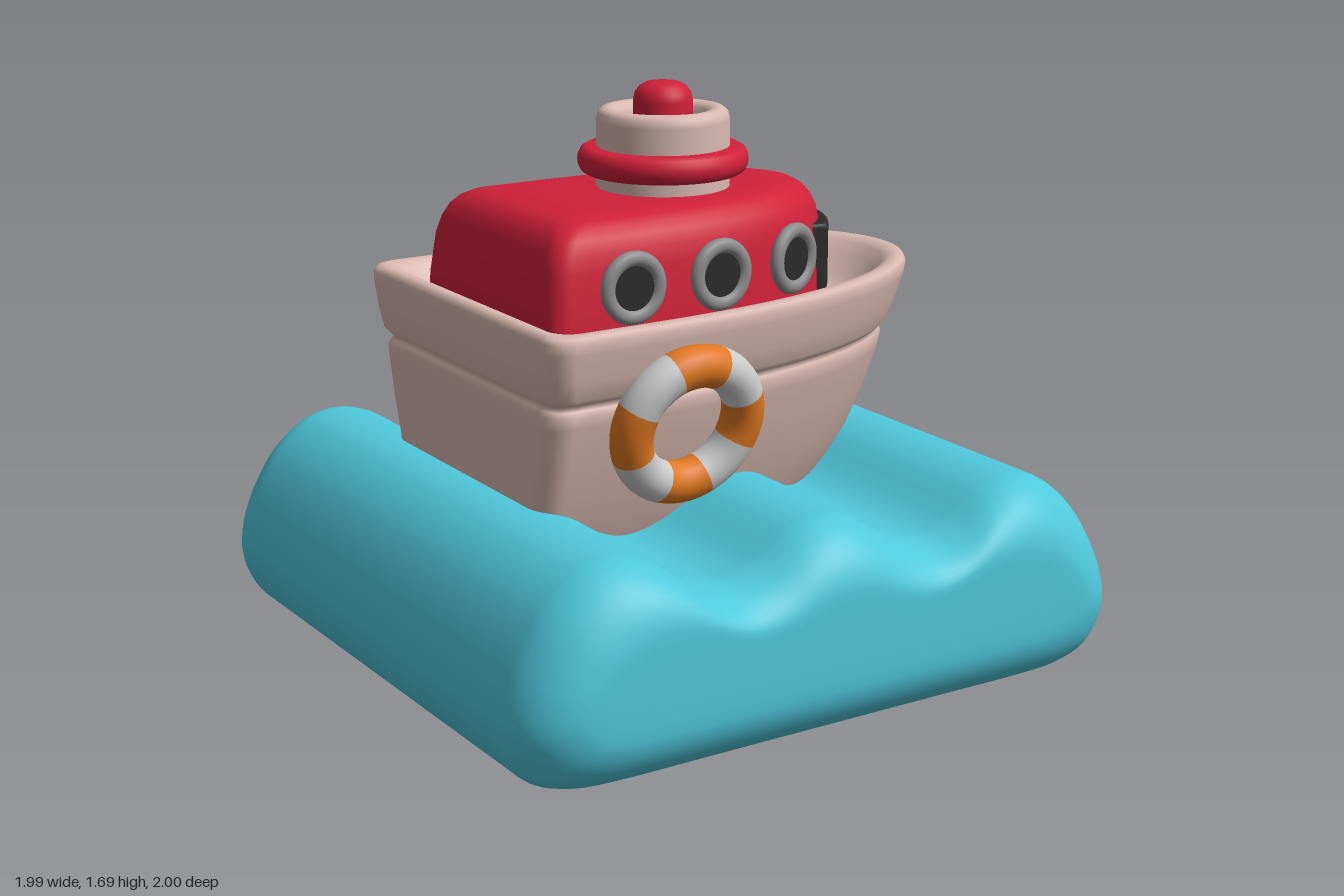
import * as THREE from 'three';

const mat = (color, side = THREE.FrontSide) => new THREE.MeshStandardMaterial({ color, side, roughness: 0.7 });
const CREAM = mat(0xd9b9b0), RED = mat(0xd02038), WATER = mat(0x4fc8dc), GREY = mat(0x8c8c8c),
  DARK = mat(0x2b2b2b), ORANGE = mat(0xe07820), WHITE = mat(0xcccccc);

function add(parent, name, geometry, material, x = 0, y = 0, z = 0) {
  const mesh = new THREE.Mesh(geometry, material);
  mesh.name = name;
  mesh.position.set(x, y, z);
  parent.add(mesh);
  return mesh;
}

// Smooth skin through closed rings of equal length
function loft(rings) {
  const n = rings[0].length, pos = rings.flat().flatMap((p) => [p.x, p.y, p.z]), index = [];
  for (let i = 0; i < rings.length - 1; i++) {
    for (let j = 0; j < n; j++) {
      const a = i * n + j, b = i * n + (j + 1) % n;
      index.push(a, a + n, b, b, a + n, b + n);
    }
  }
  const g = new THREE.BufferGeometry();
  g.setAttribute('position', new THREE.Float32BufferAttribute(pos, 3));
  g.setIndex(index);
  g.computeVertexNormals();
  return g;
}

// Boat plan at one height: round bow at xb, flat stern at xs, half width w
function boatRing([y, xs, xb, w], flat, power, corner) {
  const half = [], xf = xs + flat * (xb - xs), c = Math.min(corner, w * 0.5);
  for (let i = 0; i <= 28; i++) {
    const t = (i / 28) * Math.PI / 2;
    half.push([xf + (xb - xf) * Math.pow(Math.max(Math.cos(t), 0), 2 / power), w * Math.sin(t)]);
  }
  for (let i = 1; i < 4; i++) half.push([xf + (xs + c - xf) * i / 4, w]);
  for (let i = 0; i <= 8; i++) {
    const t = (i / 8) * Math.PI / 2;
    half.push([xs + c - c * Math.sin(t), w - c + c * Math.cos(t)]);
  }
  for (let i = 1; i <= 4; i++) half.push([xs, (w - c) * (1 - i / 4)]);
  const mirror = half.slice(1, -1).reverse().map(([x, z]) => [x, -z]);
  return [...half, ...mirror].map(([x, z]) => new THREE.Vector3(x, y, z));
}

// Wave block: one rounded profile swept along z, shrinking at both ends
function waterGeometry() {
  const left = [[-0.4, 0], [-0.7, 0], [-0.84, 0.012], [-0.94, 0.06], [-0.995, 0.18], [-0.97, 0.33], [-0.885, 0.49],
    [-0.78, 0.585], [-0.67, 0.615], [-0.56, 0.59], [-0.44, 0.515], [-0.34, 0.487], [-0.23, 0.515], [-0.1, 0.593]];
  const pts = [[0, 0], ...left, [0, 0.615], ...left.slice().reverse().map(([x, y]) => [-x, y])];
  const profile = new THREE.CatmullRomCurve3(pts.map(([x, y]) => new THREE.Vector3(x, y, 0)), true, 'catmullrom', 0.5)
    .getPoints(160).slice(0, -1);
  const ends = [[0.305, 1], [0.25, 1], [0.2, 1]];
  for (let i = 1; i <= 12; i++) {
    const t = (i / 12) * Math.PI / 2;
    ends.push([0.19 * (1 - Math.sin(t)), 0.8 + 0.2 * Math.cos(t)]);
  }
  const stations = [...ends.map(([d, z]) => [d, -z]), [0, 0], ...ends.slice().reverse()];
  return loft(stations.map(([d, z]) => profile.map((p) =>
    new THREE.Vector3(p.x * (1 - d), 0.305 + (p.y - 0.305) * (1 - d / 0.305), z))));
}

const lathe = (pts) => new THREE.LatheGeometry(pts.map(([r, y]) => new THREE.Vector2(r, y)), 48);

export function createModel() {
  const model = new THREE.Group();
  model.name = 'boatOnWaves';
  add(model, 'water', waterGeometry(), WATER);

  // Hull: outside upwards, over the rim, down to the deck
  const hull = [
    [0.35, -0.6, 0.4, 0], [0.35, -0.64, 0.45, 0.33], [0.5, -0.645, 0.57, 0.4], [0.62, -0.65, 0.655, 0.445],
    [0.75, -0.65, 0.715, 0.485], [0.86, -0.65, 0.755, 0.512], [0.895, -0.65, 0.762, 0.518], [0.91, -0.642, 0.755, 0.508],
    [0.92, -0.637, 0.752, 0.503], [0.93, -0.645, 0.768, 0.515], [0.945, -0.656, 0.785, 0.53], [1.0, -0.662, 0.808, 0.548],
    [1.08, -0.668, 0.84, 0.563], [1.11, -0.668, 0.845, 0.566], [1.125, -0.66, 0.836, 0.557], [1.13, -0.645, 0.82, 0.54],
    [1.128, -0.625, 0.795, 0.515], [1.115, -0.605, 0.77, 0.49], [1.08, -0.59, 0.74, 0.468], [1.03, -0.58, 0.69, 0.44],
    [1.005, -0.57, 0.65, 0.415], [1.0, -0.55, 0.62, 0.39], [1.0, -0.5, 0.4, 0],
  ];
  add(model, 'hull', loft(hull.map((r) => boatRing(r, 0.18, 2.3, 0.07))), CREAM, 0, 0, -0.015);

  // Cabin with rounded roof
  const cabin = [
    [0.98, -0.575, 0.545, 0.39], [1.13, -0.57, 0.54, 0.385], [1.25, -0.555, 0.53, 0.372], [1.3, -0.54, 0.52, 0.36],
    [1.335, -0.522, 0.502, 0.345], [1.36, -0.5, 0.478, 0.322], [1.376, -0.472, 0.45, 0.295], [1.384, -0.435, 0.41, 0.26],
    [1.386, -0.38, 0.36, 0.2], [1.386, -0.3, 0.25, 0],
  ];
  add(model, 'cabin', loft(cabin.map((r) => boatRing(r, 0.245, 2.8, 0.06))), RED, 0, 0, -0.01);

  // Curved front window
  const arc = [];
  for (let i = -10; i <= 10; i++) arc.push([0.54 - 2 * (i * 0.0225) ** 2, i * 0.0225]);
  const band = [...arc, ...arc.slice().reverse().map(([x, z]) => [x - 0.06, z * 0.97])];
  const pane = new THREE.ExtrudeGeometry(new THREE.Shape(band.map(([x, z]) => new THREE.Vector2(x, z))),
    { depth: 0.18, bevelSize: 0.013, bevelThickness: 0.013, bevelSegments: 3 });
  pane.rotateX(-Math.PI / 2);
  add(model, 'frontWindow', pane, DARK, 0, 1.072, -0.008);

  // Portholes on both sides
  for (const side of [1, -1]) {
    for (const [x, z, turn] of [[-0.315, 0.383, 0], [-0.02, 0.375, 0.07], [0.27, 0.318, 0.35]]) {
      const porthole = new THREE.Group();
      porthole.name = 'porthole';
      porthole.position.set(x, 1.195, side * z - 0.012);
      porthole.rotation.y = side > 0 ? turn : Math.PI - turn;
      const frame = add(porthole, 'portholeFrame', new THREE.TorusGeometry(0.083, 0.022, 14, 40), GREY);
      frame.scale.z = 0.9;
      const glass = add(porthole, 'portholeGlass', new THREE.CylinderGeometry(0.075, 0.075, 0.03, 32), DARK, 0, 0, -0.007);
      glass.rotation.x = Math.PI / 2;
      model.add(porthole);
    }
  }

  // Funnel with open top, red collar and red cap
  const funnel = new THREE.Group();
  funnel.name = 'funnel';
  funnel.position.set(0.025, 0, -0.012);
  add(funnel, 'funnelPipe', lathe([[0.195, 1.34], [0.195, 1.58], [0.19, 1.602], [0.178, 1.613], [0.16, 1.616],
    [0.142, 1.612], [0.128, 1.6], [0.122, 1.58], [0.12, 1.54], [0, 1.54]]), CREAM);
  add(funnel, 'funnelCollar', lathe([[0.18, 1.425], [0.225, 1.426], [0.24, 1.434], [0.248, 1.45], [0.25, 1.465],
    [0.248, 1.48], [0.24, 1.496], [0.225, 1.504], [0.18, 1.505]]), RED);
  add(funnel, 'funnelCap', lathe([[0.087, 1.52], [0.087, 1.635], [0.082, 1.658], [0.069, 1.676], [0.048, 1.687],
    [0.024, 1.691], [0, 1.692]]), RED);
  model.add(funnel);

  // Lifebuoy leaning on the hull, eight alternating bands
  const buoy = new THREE.Group();
  buoy.name = 'lifebuoy';
  buoy.position.set(-0.262, 0.845, 0.565);
  buoy.rotation.x = 0.24;
  for (let i = 0; i < 8; i++) {
    const segment = add(buoy, 'lifebuoyBand', new THREE.TorusGeometry(0.179, 0.06, 20, 10, Math.PI / 4), i % 2 ? WHITE : ORANGE);
    segment.rotation.z = (i - 0.5) * Math.PI / 4;
  }
  model.add(buoy);
  return model;
}
